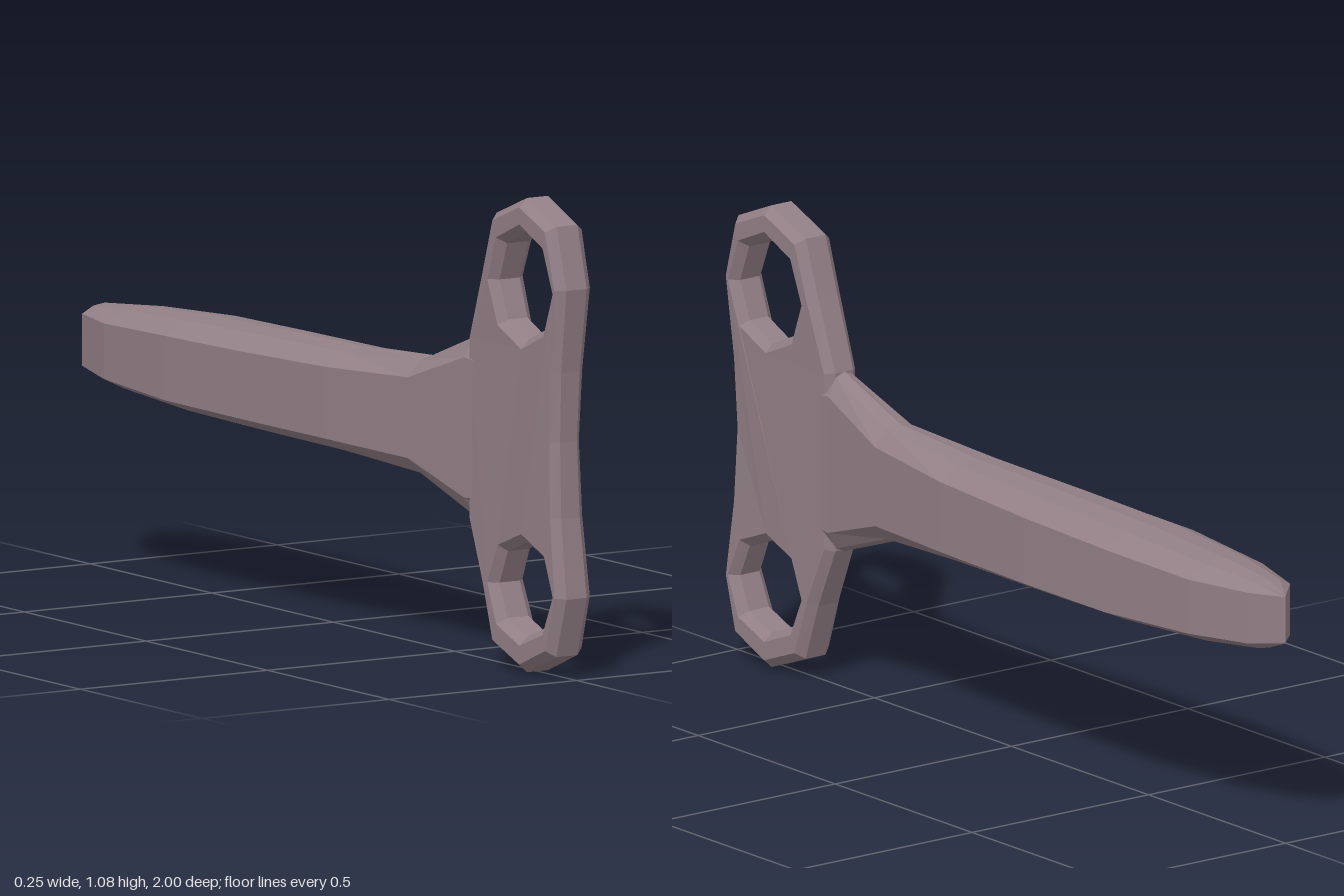
import * as THREE from 'three';

const MID = 0.535;

// Flat head with an eyelet at each end, drawn in (z, y) and extruded across x
function makeHead() {
  const outline = [
    [0.61, 0.325], [0.61, 0.74], [0.67, 0.9], [0.715, 1.03], [0.84, 1.08], [0.96, 1.03], [1.0, 0.89],
    [0.975, 0.7], [0.967, 0.54], [0.975, 0.37], [1.0, 0.19], [0.96, 0.055], [0.84, 0.005],
    [0.715, 0.052], [0.67, 0.185],
  ];
  const toPath = (pts, P) => new P(pts.map(([z, y]) => new THREE.Vector2(z, y)));
  const shape = toPath(outline, THREE.Shape);

  // Octagonal eyelets: centre y and vertical radius
  for (const [cy, ry] of [[0.88, 0.122], [0.193, 0.107]]) {
    const hole = [];
    for (let i = 0; i < 8; i++) {
      const a = (i * Math.PI) / 4;
      hole.push([0.84 + 0.115 * Math.cos(a), cy + ry * Math.sin(a)]);
    }
    shape.holes.push(toPath(hole, THREE.Path));
  }

  const geo = new THREE.ExtrudeGeometry(shape, {
    depth: 0.056, bevelEnabled: true, bevelSegments: 1,
    bevelSize: 0.018, bevelThickness: 0.021, bevelOffset: -0.018,
  });
  geo.translate(0, 0, -0.028);
  geo.rotateY(-Math.PI / 2);

  // Thin the plate toward its waist
  const p = geo.attributes.position;
  for (let i = 0; i < p.count; i++) {
    const t = Math.min(1, Math.abs(p.getY(i) - MID) / 0.42);
    p.setX(i, p.getX(i) * (0.8 + 0.2 * t));
  }
  geo.computeVertexNormals();
  return geo;
}

// Handle lofted from ten-sided sections running back along z
function makeHandle() {
  // z, half width, top, bottom, shoulder drop
  const sections = [
    [0.8, 0.028, 0.69, 0.37, 0.03],
    [0.66, 0.043, 0.715, 0.345, 0.03],
    [0.61, 0.047, 0.74, 0.322, 0.05],
    [0.41, 0.068, 0.665, 0.392, 0.045],
    [0.13, 0.102, 0.647, 0.408, 0.038],
    [-0.2, 0.12, 0.641, 0.412, 0.038],
    [-0.5, 0.127, 0.635, 0.417, 0.036],
    [-0.78, 0.106, 0.62, 0.43, 0.032],
    [-0.94, 0.06, 0.605, 0.447, 0.02],
    [-1.0, 0.001, 0.582, 0.47, 0.004],
  ];
  const pos = [], index = [], n = 10;
  for (const [z, w, t, b, s] of sections) {
    const half = [[0, b], [0.5 * w, b + 0.2 * s], [w, b + s], [w, t - s], [0.5 * w, t - 0.2 * s], [0, t]];
    const ring = [...half, ...half.slice(1, 5).reverse().map(([x, y]) => [-x, y])];
    for (const [x, y] of ring) pos.push(x, y, z);
  }
  for (let i = 0; i < sections.length - 1; i++) {
    for (let j = 0; j < n; j++) {
      const a = i * n + j, b = i * n + ((j + 1) % n);
      index.push(a, a + n, b, b, a + n, b + n);
    }
  }
  // Close the rear edge
  const last = (sections.length - 1) * n;
  for (let j = 1; j < n - 1; j++) index.push(last, last + j + 1, last + j);

  const geo = new THREE.BufferGeometry();
  geo.setAttribute('position', new THREE.Float32BufferAttribute(pos, 3));
  geo.setIndex(index);
  geo.computeVertexNormals();
  return geo;
}

export function createModel() {
  const group = new THREE.Group();
  group.name = 'eyeletHandle';
  const mat = new THREE.MeshStandardMaterial({ color: 0x927f86, flatShading: true });
  mat.name = 'dusty mauve';

  for (const [name, geo] of [['eyeletHead', makeHead()], ['handle', makeHandle()]]) {
    const mesh = new THREE.Mesh(geo, mat);
    mesh.name = name;
    group.add(mesh);
  }
  return group;
}
